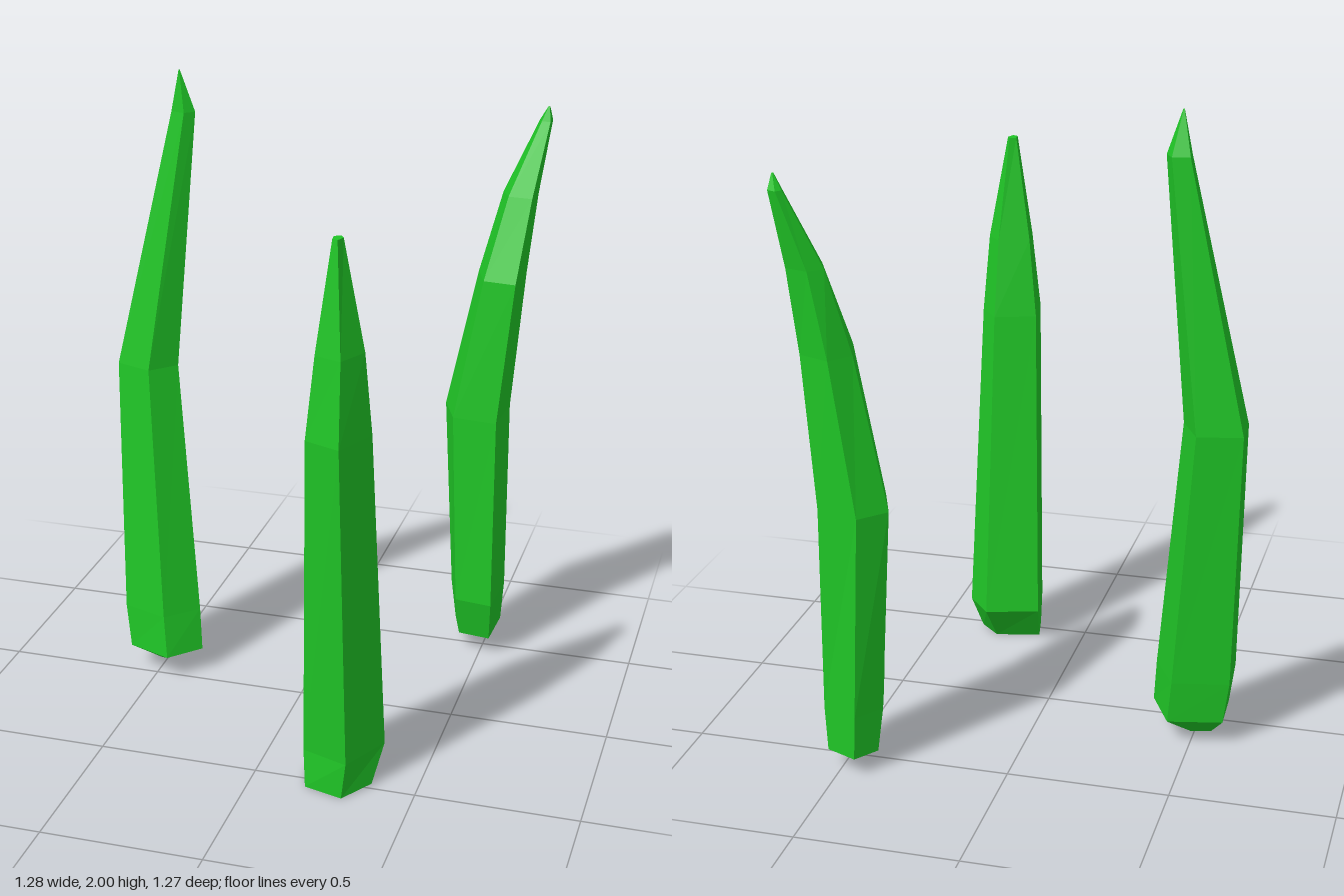
import * as THREE from 'three';

const material = new THREE.MeshStandardMaterial({ color: 0x1fc426, flatShading: true });

// Faceted blade: one five-sided outline (in a -1..1 box, left-front-right-back)
// stretched into the extents of each ring [y, xMin, xMax, zMin, zMax]
function makeBlade(name, outline, rings) {
  const n = outline.length;
  const positions = [];
  const corner = (i, j) => {
    const [y, x0, x1, z0, z1] = rings[i];
    const [u, v] = outline[j % n];
    return [(x0 + x1) / 2 + u * (x1 - x0) / 2, y, (z0 + z1) / 2 + v * (z1 - z0) / 2];
  };
  const tri = (a, b, c) => positions.push(...a, ...b, ...c);
  const top = rings.length - 1;

  // Sides
  for (let i = 0; i < top; i++) {
    for (let j = 0; j < n; j++) {
      tri(corner(i, j), corner(i, j + 1), corner(i + 1, j + 1));
      tri(corner(i, j), corner(i + 1, j + 1), corner(i + 1, j));
    }
  }
  // Caps
  for (let j = 1; j < n - 1; j++) {
    tri(corner(0, 0), corner(0, j + 1), corner(0, j));
    tri(corner(top, 0), corner(top, j), corner(top, j + 1));
  }

  const geometry = new THREE.BufferGeometry();
  geometry.setAttribute('position', new THREE.Float32BufferAttribute(positions, 3));
  geometry.computeVertexNormals();
  const mesh = new THREE.Mesh(geometry, material);
  mesh.name = name;
  return mesh;
}

export function createModel() {
  const group = new THREE.Group();
  group.name = 'grassBlades';

  // Tallest blade, bending gently at mid height
  group.add(makeBlade('tallBlade',
    [[-0.95, 0.55], [0.25, 1], [1, 0.2], [0.4, -1], [-1, -0.7]],
    [
      [0.03, -0.56, -0.47, -0.15, -0.05],
      [0.08, -0.6, -0.36, -0.2, 0.04],
      [0.22, -0.62, -0.37, -0.21, 0.025],
      [1.05, -0.645, -0.45, -0.245, -0.055],
      [1.87, -0.465, -0.39, -0.21, -0.145],
      [2.0, -0.437, -0.433, -0.162, -0.158],
    ]));

  // Upright blade at the front
  group.add(makeBlade('frontBlade',
    [[-1, -0.6], [-0.8, 0.6], [0.36, 1], [1, -0.25], [0.36, -1]],
    [
      [0, 0.15, 0.36, 0.41, 0.58],
      [0.12, 0.138, 0.387, 0.33, 0.585],
      [1.15, 0.165, 0.355, 0.42, 0.64],
      [1.4, 0.193, 0.335, 0.46, 0.61],
      [1.73, 0.245, 0.275, 0.515, 0.56],
    ]));

  // Back blade, curling outward at the tip
  group.add(makeBlade('curvedBlade',
    [[-0.5, 0.85], [0.9, 1], [1, -0.6], [-0.3, -1], [-1, -0.3]],
    [
      [0.06, 0.39, 0.54, -0.635, -0.43],
      [0.2, 0.375, 0.55, -0.635, -0.395],
      [0.85, 0.337, 0.545, -0.635, -0.41],
      [1.32, 0.435, 0.585, -0.615, -0.425],
      [1.58, 0.5, 0.61, -0.615, -0.51],
      [1.81, 0.6, 0.64, -0.635, -0.59],
      [1.855, 0.626, 0.632, -0.612, -0.604],
    ]));

  return group;
}
